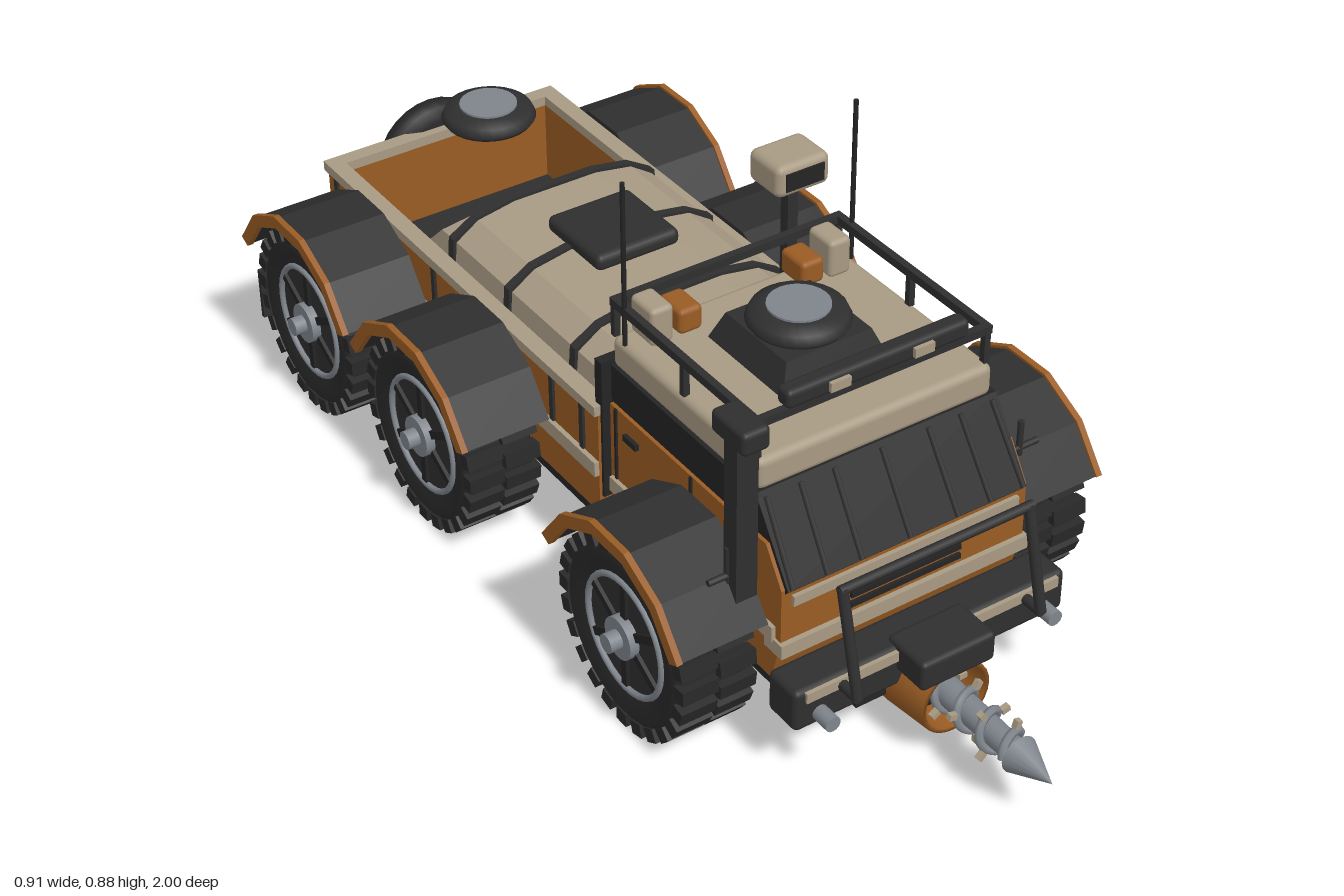
import * as THREE from 'three';
import { RoundedBoxGeometry } from 'three/addons/geometries/RoundedBoxGeometry.js';

const mat = (name, color) => {
  const m = new THREE.MeshStandardMaterial({ color, side: THREE.DoubleSide });
  m.name = name;
  return m;
};

export function createModel() {
  const beige = mat('sand paint', 0xa99b84), orange = mat('rust orange', 0x9a5c24), dark = mat('dark trim', 0x2f2f30),
    black = mat('glass and chassis', 0x242425), rubber = mat('tyre rubber', 0x29292a), steel = mat('steel', 0x7f858c),
    copper = mat('bright copper', 0xc0742a), red = mat('tail light red', 0xb8241a);
  const root = new THREE.Group();
  root.name = 'sixWheeledDrillTruck';

  const add = (name, geo, material, x = 0, y = 0, z = 0, parent = root) => {
    const m = new THREE.Mesh(geo, material);
    m.name = name;
    m.position.set(x, y, z);
    parent.add(m);
    return m;
  };
  const box = (name, m, w, h, d, x, y, z, parent) => add(name, new THREE.BoxGeometry(w, h, d), m, x, y, z, parent);
  const round = (name, m, w, h, d, x, y, z, r = 0.01) => add(name, new RoundedBoxGeometry(w, h, d, 2, r), m, x, y, z);
  const pair = (fn) => [-1, 1].forEach(fn);
  const shapeOf = (pts) => new THREE.Shape(pts.map((p) => new THREE.Vector2(p[0], p[1])));
  // side profile of [z, y] points, extruded across x
  const across = (pts, width) => new THREE.ExtrudeGeometry(shapeOf(pts), { depth: width, bevelEnabled: false })
    .translate(0, 0, -width / 2).rotateY(-Math.PI / 2);
  // front profile of [x, y] points, extruded from z0 to z1
  const along = (pts, z0, z1) => new THREE.ExtrudeGeometry(shapeOf(pts), { depth: z1 - z0, bevelEnabled: false }).translate(0, 0, z0);
  const rod = (name, m, a, b, r) => {
    const A = new THREE.Vector3(...a), B = new THREE.Vector3(...b);
    const mesh = add(name, new THREE.CylinderGeometry(r, r, A.distanceTo(B), 8), m);
    mesh.position.lerpVectors(A, B, 0.5);
    mesh.quaternion.setFromUnitVectors(new THREE.Vector3(0, 1, 0), B.sub(A).normalize());
    return mesh;
  };
  const zCylinder = (r1, r2, len, n = 20) => new THREE.CylinderGeometry(r1, r2, len, n).rotateX(Math.PI / 2);

  // Chassis tub
  add('chassis', along([[-0.15, 0.095], [0.15, 0.095], [0.245, 0.13], [0.245, 0.175], [-0.245, 0.175], [-0.245, 0.13]], -0.94, 0.58), black);

  // Wheels, each with two staggered rows of lugs
  const wheelZ = [0.38, -0.3, -0.74];
  const tyreGeo = new THREE.LatheGeometry([[0.11, -0.06], [0.155, -0.075], [0.176, -0.062], [0.176, 0.062], [0.155, 0.075], [0.11, 0.06]]
    .map((p) => new THREE.Vector2(...p)), 32).rotateZ(-Math.PI / 2);
  const lugGeo = new THREE.BoxGeometry(0.072, 0.026, 0.029);
  const xDisc = (r, w) => new THREE.CylinderGeometry(r, r, w, 24).rotateZ(Math.PI / 2);
  const makeWheel = (side, z) => {
    const w = new THREE.Group();
    w.name = 'wheel';
    w.position.set(side * 0.354, 0.19, z);
    root.add(w);
    add('tyre', tyreGeo, rubber, 0, 0, 0, w);
    for (let i = 0; i < 48; i++) {
      const a = (i / 48) * Math.PI * 2, row = i % 2 ? 1 : -1;
      const lug = add('treadLug', lugGeo, rubber, row * 0.038, Math.cos(a) * 0.177, Math.sin(a) * 0.177, w);
      lug.rotation.x = a;
    }
    add('rimDisc', xDisc(0.115, 0.12), dark, 0, 0, 0, w);
    add('rimRing', new THREE.TorusGeometry(0.113, 0.006, 8, 32).rotateY(Math.PI / 2), steel, side * 0.064, 0, 0, w);
    add('hubPlate', xDisc(0.04, 0.02), steel, side * 0.068, 0, 0, w);
    add('hubCap', xDisc(0.018, 0.045), steel, side * 0.079, 0, 0, w);
    for (let i = 0; i < 6; i++) {
      const a = (i / 6) * Math.PI * 2;
      const s = box('spoke', black, 0.01, 0.07, 0.016, side * 0.062, Math.cos(a) * 0.075, Math.sin(a) * 0.075, w);
      s.rotation.x = a;
    }
  };

  // Faceted fender arches with a coloured outer lip
  const arch = (r0, r1) => {
    const out = [], inn = [], n = 5, start = 0.42;
    for (let i = 0; i <= n; i++) {
      const a = start + ((Math.PI - 2 * start) * i) / n;
      out.push([Math.cos(a) * r1, Math.sin(a) * r1]);
      inn.unshift([Math.cos(a) * r0, Math.sin(a) * r0]);
    }
    return out.concat(inn);
  };
  const fenderGeo = across(arch(0.205, 0.222), 0.172), lipGeo = across(arch(0.202, 0.227), 0.012);
  pair((s) => {
    for (const z of wheelZ) {
      makeWheel(s, z);
      add('fender', fenderGeo, dark, s * 0.35, 0.19, z - 0.005);
      add('fenderLip', lipGeo, orange, s * 0.441, 0.19, z - 0.005);
      rod('axle', black, [0, 0.19, z], [s * 0.32, 0.19, z], 0.025);
    }
    box('mudFlap', dark, 0.14, 0.11, 0.01, s * 0.355, 0.145, -0.94);
  });

  // Cab
  add('cabBody', across([[0.09, 0.16], [0.575, 0.16], [0.6, 0.25], [0.6, 0.36], [0.555, 0.43], [0.09, 0.43]], 0.51), orange);
  add('cabGlass', across([[0.085, 0.428], [0.553, 0.428], [0.6, 0.352], [0.609, 0.362], [0.515, 0.505], [0.085, 0.505]], 0.496), black);
  round('cabRoof', beige, 0.484, 0.064, 0.435, 0, 0.53, 0.295, 0.015);
  for (const x of [-0.24, -0.17, -0.1, 0, 0.1, 0.17, 0.24]) rod('windscreenBar', dark, [x, 0.365, 0.61], [x * 0.97, 0.497, 0.523], 0.005);
  box('bonnetStrip', beige, 0.47, 0.02, 0.012, 0, 0.335, 0.602);
  box('lowerNoseStrip', beige, 0.52, 0.028, 0.05, 0, 0.238, 0.585);
  for (const y of [0.27, 0.29]) box('grilleSlot', black, 0.23, 0.011, 0.008, 0, y, 0.602);
  pair((s) => {
    box('cabSideStrip', beige, 0.01, 0.03, 0.49, s * 0.258, 0.262, 0.34);
    for (const z of [0.11, 0.34]) box('doorSeam', black, 0.006, 0.15, 0.006, s * 0.256, 0.355, z);
    box('doorHandle', black, 0.01, 0.012, 0.04, s * 0.258, 0.39, 0.16);
    rod('mirrorArm', dark, [s * 0.25, 0.365, 0.52], [s * 0.345, 0.365, 0.52], 0.006);
    rod('mirrorPost', dark, [s * 0.305, 0.35, 0.52], [s * 0.305, 0.422, 0.52], 0.006);
    // Roof cargo and aerials
    round('sandCan', beige, 0.046, 0.075, 0.07, s * 0.186, 0.6, 0.12);
    round('orangeCan', orange, 0.048, 0.05, 0.07, s * 0.128, 0.59, 0.12);
    rod('aerial', black, [s * 0.238, 0.56, 0.115], [s * 0.238, 0.883, 0.115], 0.0045);
    // Roof rack
    box('rackSideRail', dark, 0.014, 0.016, 0.43, s * 0.234, 0.628, 0.288);
    for (const z of [0.08, 0.29, 0.495]) box('rackPost', dark, 0.012, 0.07, 0.012, s * 0.234, 0.595, z);
    box('lightBarBracket', dark, 0.02, 0.03, 0.014, s * 0.14, 0.637, 0.495);
    box('barLamp', beige, 0.04, 0.018, 0.008, s * 0.085, 0.657, 0.516);
  });
  for (const z of [0.08, 0.495]) box('rackCrossRail', dark, 0.48, 0.016, 0.014, 0, 0.628, z);
  round('lightBar', dark, 0.37, 0.036, 0.035, 0, 0.657, 0.495);

  // Round hatches: one on a roof turret, one over the cargo bed
  const hatchGeo = new THREE.LatheGeometry([[0, 0], [0.085, 0], [0.092, 0.01], [0.085, 0.025], [0.06, 0.034], [0, 0.034]]
    .map((p) => new THREE.Vector2(...p)), 28);
  const hatch = (y, z) => {
    add('hatchDome', hatchGeo, dark, 0, y, z);
    add('hatchLens', new THREE.CylinderGeometry(0.056, 0.056, 0.008, 24), steel, 0, y + 0.034, z);
  };
  add('turretBase', new THREE.CylinderGeometry(0.088 * Math.SQRT2, 0.11 * Math.SQRT2, 0.055, 4).rotateY(Math.PI / 4), dark, 0, 0.588, 0.285).geometry = new THREE.CylinderGeometry(0.088 * Math.SQRT2, 0.11 * Math.SQRT2, 0.055, 4).rotateY(Math.PI / 4).toNonIndexed();
  root.children.at(-1).geometry.computeVertexNormals();
  hatch(0.614, 0.285);
  hatch(0.505, -0.738);

  // Snorkel on the right side
  box('snorkelPipe', dark, 0.042, 0.36, 0.036, -0.286, 0.48, 0.528);
  round('snorkelHead', dark, 0.054, 0.045, 0.095, -0.286, 0.658, 0.525);

  // Cargo bed
  pair((s) => {
    box('bedSideWall', orange, 0.025, 0.225, 0.98, s * 0.243, 0.275, -0.44);
    box('bedSideRim', beige, 0.034, 0.02, 0.985, s * 0.246, 0.388, -0.442);
    box('bedSideStrip', beige, 0.012, 0.03, 0.96, s * 0.259, 0.262, -0.43);
    for (const z of [0.0, -0.1, -0.52, -0.9]) box('bedRib', dark, 0.008, 0.1, 0.012, s * 0.257, 0.33, z);
  });
  box('bedFront', orange, 0.47, 0.225, 0.62, 0, 0.275, -0.26);
  box('tailgate', orange, 0.51, 0.225, 0.025, 0, 0.275, -0.925);
  box('tailgateRim', beige, 0.525, 0.02, 0.032, 0, 0.388, -0.925);
  box('bedFloor', dark, 0.47, 0.02, 0.36, 0, 0.2, -0.74);
  box('bulkhead', black, 0.5, 0.29, 0.022, 0, 0.345, 0.045);
  box('coupling', black, 0.3, 0.15, 0.08, 0, 0.24, 0.07);

  // Arched cover, its rear end raked forward
  const coverPts = (g) => [[-0.222 - g, 0.385], [0.222 + g, 0.385], [0.218 + g, 0.43 + g], [0.17, 0.462 + g], [0.09, 0.476 + g],
    [-0.09, 0.476 + g], [-0.17, 0.462 + g], [-0.218 - g, 0.43 + g]];
  const cover = along(coverPts(0), -0.595, 0.02), cp = cover.attributes.position;
  for (let i = 0; i < cp.count; i++) if (cp.getZ(i) < -0.5) cp.setZ(i, -0.595 + (cp.getY(i) - 0.385) * 1.0);
  cover.computeVertexNormals();
  add('cargoCover', cover, beige);
  for (const z of [-0.505, -0.305, -0.08]) add('coverStrap', along(coverPts(0.006), z - 0.009, z + 0.009), dark);
  round('coverHatch', dark, 0.18, 0.035, 0.18, 0, 0.488, -0.293, 0.014);

  // Camera mast
  box('mast', dark, 0.022, 0.29, 0.022, 0.2, 0.53, -0.02);
  round('cameraHead', beige, 0.115, 0.065, 0.095, 0.198, 0.697, -0.02, 0.015);
  box('cameraLens', black, 0.082, 0.036, 0.008, 0.198, 0.697, 0.026);

  // Rear end
  const spareProfile = [[0, -0.035], [0.1, -0.035], [0.122, -0.02], [0.125, 0], [0.122, 0.02], [0.1, 0.035], [0.07, 0.035], [0.062, 0.026], [0, 0.03]];
  add('spareWheel', new THREE.LatheGeometry(spareProfile.map((p) => new THREE.Vector2(...p)), 28).rotateX(-Math.PI / 2), rubber, 0, 0.31, -0.962);
  round('rearBumper', dark, 0.52, 0.065, 0.04, 0, 0.165, -0.94);
  pair((s) => {
    box('tailLight', red, 0.06, 0.028, 0.008, s * 0.19, 0.175, -0.962);
    add('exhaust', zCylinder(0.02, 0.02, 0.14, 14), steel, s * 0.13, 0.115, -0.9);
    add('exhaustTip', zCylinder(0.022, 0.022, 0.015, 14), copper, s * 0.13, 0.115, -0.965);
  });

  // Front bumper, bull bar and winch
  round('frontBumper', dark, 0.57, 0.085, 0.08, 0, 0.172, 0.645, 0.012);
  box('bumperStrip', beige, 0.53, 0.02, 0.008, 0, 0.2, 0.686);
  box('bumperSkid', black, 0.28, 0.045, 0.1, 0, 0.118, 0.61);
  round('winch', dark, 0.155, 0.06, 0.1, 0, 0.195, 0.705);
  pair((s) => {
    rod('bullBarUpright', dark, [s * 0.193, 0.195, 0.73], [s * 0.193, 0.395, 0.68], 0.01);
    rod('bullBarFoot', dark, [s * 0.193, 0.197, 0.66], [s * 0.193, 0.197, 0.733], 0.01);
    add('towPin', zCylinder(0.015, 0.015, 0.045, 14), steel, s * 0.235, 0.155, 0.7);
  });
  rod('bullBarTop', dark, [-0.2, 0.392, 0.681], [0.2, 0.392, 0.681], 0.009);

  // Drill: collar, shaft, helical flight with teeth and pointed tip
  const dy = 0.115;
  const collar = [[0.08, 0], [0.08, 0.02], [0.071, 0.125], [0.063, 0.125], [0.065, 0.02]].map((p) => new THREE.Vector2(...p));
  add('drillCollar', new THREE.LatheGeometry(collar, 28).rotateX(Math.PI / 2), orange, 0, dy, 0.625);
  add('collarCore', zCylinder(0.065, 0.065, 0.05), black, 0, dy, 0.66);
  add('drillShaft', zCylinder(0.022, 0.028, 0.27, 16), steel, 0, dy, 0.79);
  add('drillTip', zCylinder(0, 0.036, 0.085, 16), steel, 0, dy, 0.9575);
  const helix = [];
  for (let i = 0; i <= 48; i++) {
    const a = (i / 48) * Math.PI * 7;
    helix.push(new THREE.Vector3(Math.cos(a) * 0.03, dy + Math.sin(a) * 0.03, 0.7 + (i / 48) * 0.21));
  }
  add('drillFlight', new THREE.TubeGeometry(new THREE.CatmullRomCurve3(helix), 120, 0.008, 6), steel);
  for (let i = 0; i < 12; i++) {
    const a = i * 1.83, r = 0.044;
    const t = box('drillTooth', beige, 0.016, 0.011, 0.011, Math.cos(a) * r, dy + Math.sin(a) * r, 0.71 + i * 0.0165);
    t.rotation.z = a;
  }
  return root;
}
